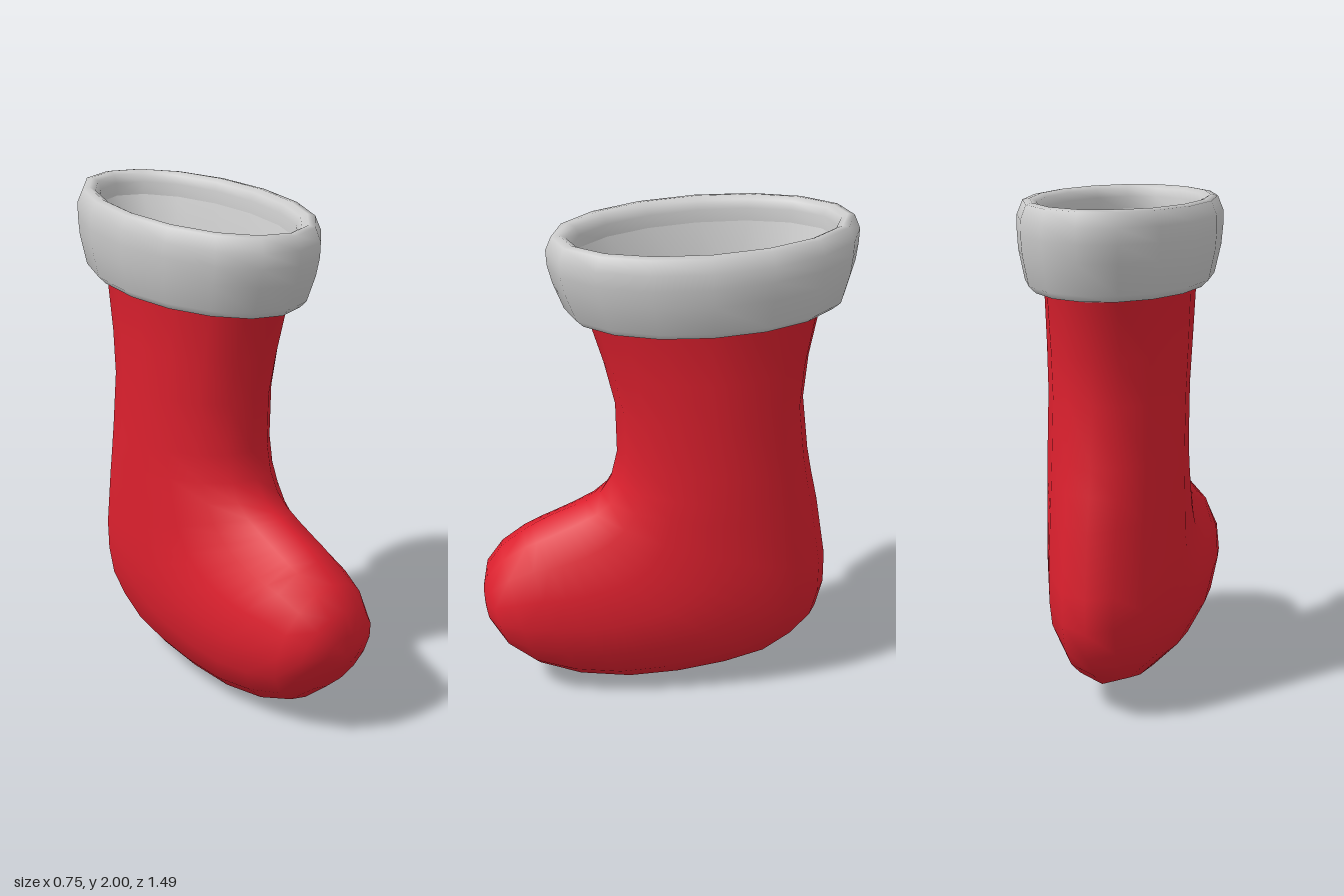
import * as THREE from 'three';
import { mergeVertices } from 'three/addons/utils/BufferGeometryUtils.js';

const SIDES = 16;

// Skins elliptical sections [frontZ, frontY, backZ, backY, halfWidth] with a smooth surface.
function loft(sections) {
  const pos = [], idx = [];
  for (const [fz, fy, bz, by, w] of sections) {
    for (let j = 0; j < SIDES; j++) {
      const a = (j / SIDES) * Math.PI * 2, c = Math.cos(a);
      pos.push(w * Math.sin(a), (fy + by) / 2 + c * (fy - by) / 2, (fz + bz) / 2 + c * (fz - bz) / 2);
    }
  }
  for (let i = 0; i < sections.length - 1; i++) {
    for (let j = 0; j < SIDES; j++) {
      const k = (j + 1) % SIDES, r = i * SIDES, s = r + SIDES;
      idx.push(r + j, s + j, s + k, r + j, s + k, r + k);
    }
  }
  const g = new THREE.BufferGeometry();
  g.setAttribute('position', new THREE.Float32BufferAttribute(pos, 3));
  g.setIndex(idx);
  const merged = mergeVertices(g, 1e-4);
  merged.computeVertexNormals();
  return merged;
}

// Shrinks a section by t all round.
function inset([fz, fy, bz, by, w], t) {
  const len = Math.hypot(fz - bz, fy - by);
  const dz = (fz - bz) / len * t, dy = (fy - by) / len * t;
  return [fz - dz, fy - dy, bz + dz, by + dy, w - t];
}

export function createModel() {
  const group = new THREE.Group();
  const red = new THREE.MeshStandardMaterial({ color: 0xdc202e });
  const grey = new THREE.MeshStandardMaterial({ color: 0xcccccc });
  const add = (name, geometry, material) => {
    const mesh = new THREE.Mesh(geometry, material);
    mesh.name = name;
    group.add(mesh);
  };

  // Leg sections, fanning round the instep and heel towards the toe
  const leg = [
    [0.30, 1.615, -0.61, 1.65, 0.275],
    [0.24, 1.42, -0.566, 1.42, 0.27],
    [0.197, 1.24, -0.55, 1.24, 0.265],
    [0.192, 1.03, -0.575, 1.01, 0.265],
    [0.217, 0.92, -0.595, 0.9, 0.265],
    [0.26, 0.85, -0.62, 0.78, 0.265],
    [0.32, 0.81, -0.66, 0.52, 0.265],
  ];
  const foot = [
    [0.36, 0.795, -0.66, 0.385, 0.265],
    [0.39, 0.782, -0.63, 0.27, 0.265],
    [0.42, 0.77, -0.55, 0.18, 0.265],
    [0.455, 0.755, -0.434, 0.1, 0.265],
    [0.485, 0.74, -0.27, 0.05, 0.265],
    [0.515, 0.725, -0.07, 0.015, 0.265],
    [0.54, 0.71, 0.14, 0.002, 0.262],
    [0.577, 0.688, 0.35, 0.026, 0.25],
    [0.667, 0.62, 0.52, 0.085, 0.225],
    [0.73, 0.53, 0.64, 0.18, 0.182],
    [0.746, 0.43, 0.72, 0.29, 0.09],
    [0.742, 0.35, 0.742, 0.35, 0],
  ];
  add('stocking', loft([[0.38, 1.79, -0.68, 1.84, 0.31], ...leg, ...foot]), red);

  // Lining: the same sections shrunk, in reverse order so it faces inwards
  const inner = [...leg, ...foot.slice(0, -2)].map((s) => inset(s, 0.06));
  const lining = [[0.355, 1.86, -0.66, 1.91, 0.28], ...inner, [0.665, 0.37, 0.665, 0.37, 0]];
  add('lining', loft(lining.reverse()), grey);

  // Cuff: up the inside, over the rounded rim, down the outside and under
  add('cuff', loft([
    [0.352, 1.84, -0.657, 1.89, 0.278],
    [0.357, 1.905, -0.66, 1.955, 0.281],
    [0.375, 1.936, -0.674, 1.987, 0.296],
    [0.402, 1.949, -0.698, 2.0, 0.322],
    [0.432, 1.943, -0.724, 1.995, 0.35],
    [0.454, 1.89, -0.747, 1.94, 0.372],
    [0.45, 1.83, -0.744, 1.88, 0.373],
    [0.43, 1.755, -0.735, 1.81, 0.368],
    [0.388, 1.65, -0.702, 1.69, 0.345],
    [0.36, 1.622, -0.67, 1.662, 0.318],
    [0.335, 1.616, -0.64, 1.656, 0.295],
    [0.305, 1.65, -0.61, 1.69, 0.27],
  ]), grey);

  return group;
}
